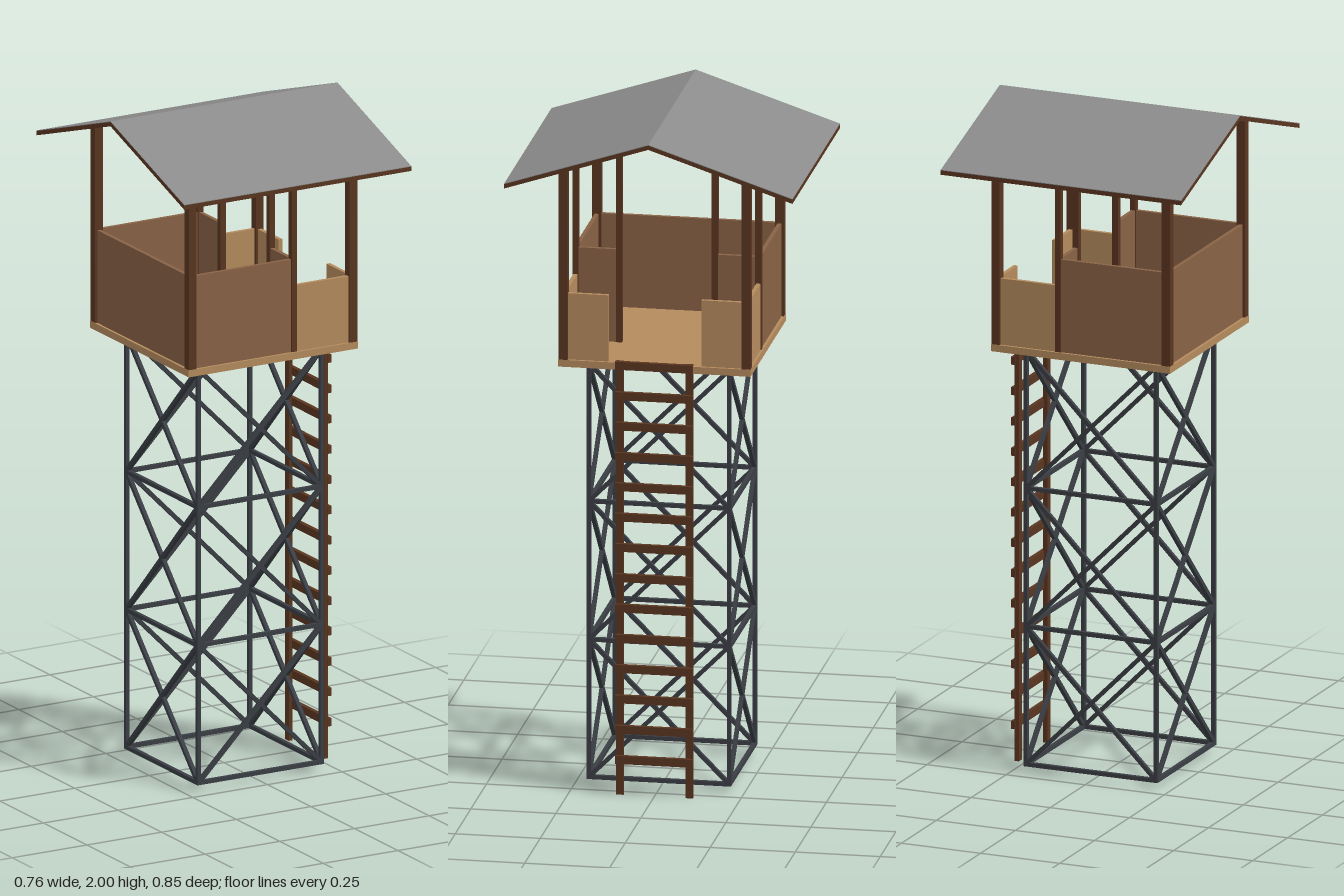
import * as THREE from 'three';

const mat = (name, color) => new THREE.MeshStandardMaterial({ name, color });

export function createModel() {
  const steel = mat('dark steel', 0x3a3e44);
  const darkWood = mat('dark wood', 0x5a3520);
  const wallWood = mat('brown wall wood', 0x896246);
  const lightWood = mat('light wood', 0xb58b5e);
  const roofGrey = mat('roof grey', 0x8c8c8c);

  const model = new THREE.Group();
  model.name = 'watchtower';
  const group = (name) => {
    const g = new THREE.Group();
    g.name = name;
    model.add(g);
    return g;
  };

  // Box given by its min and max on each axis
  const box = (parent, name, material, [x0, x1], [y0, y1], [z0, z1]) => {
    const m = new THREE.Mesh(new THREE.BoxGeometry(x1 - x0, y1 - y0, z1 - z0), material);
    m.position.set((x0 + x1) / 2, (y0 + y1) / 2, (z0 + z1) / 2);
    m.name = name;
    parent.add(m);
  };

  // Square bar between two points
  const bar = (parent, name, a, b, t) => {
    const p = new THREE.Vector3(...a), q = new THREE.Vector3(...b);
    const m = new THREE.Mesh(new THREE.BoxGeometry(t, t, p.distanceTo(q)), steel);
    m.position.copy(p).add(q).multiplyScalar(0.5);
    m.lookAt(q);
    m.name = name;
    parent.add(m);
  };

  // Steel lattice: legs, level bars and crossed braces on four sides
  const R = 0.206;
  const levels = [0.026, 0.442, 0.86, 1.277];
  const corners = [[R, R], [R, -R], [-R, -R], [-R, R]];
  const lattice = group('steelLattice');
  corners.forEach(([x, z], i) => {
    const [u, w] = corners[(i + 1) % 4];
    bar(lattice, 'leg', [x, 0.02, z], [x, 1.286, z], 0.012);
    levels.forEach((y, k) => {
      bar(lattice, 'levelBar', [x, y, z], [u, y, w], 0.012);
      if (k === 3) return;
      const top = levels[k + 1];
      bar(lattice, 'brace', [x, y, z], [u, top, w], 0.012);
      bar(lattice, 'brace', [x, top, z], [u, y, w], 0.012);
    });
  });

  // Platform
  const F = 1.306;
  box(model, 'platform', lightWood, [-0.283, 0.283], [1.285, F], [-0.283, 0.283]);

  // Posts: four corners, and a row along the inner partition
  const posts = group('posts');
  const roofAt = (z) => 1.992 - 0.14 * Math.abs(z) / 0.423;
  const post = (x, z, t) =>
    box(posts, 'post', darkWood, [x - t, x + t], [F, roofAt(Math.abs(z) + t)], [z - t, z + t]);
  for (const s of [1, -1]) {
    for (const x of [-0.269, 0.269]) post(x, s * 0.269, 0.013);
    post(0.074, s * 0.269, 0.009);
    post(0.074, s * 0.141, 0.009);
  }

  // Cabin walls: tall around the room, low around the porch
  const walls = group('walls');
  const T = 0.006, HIGH = 1.586, LOW = 1.506;
  const side = (s, a, b) => (s > 0 ? [a, b] : [-b, -a]);
  box(walls, 'roomEndWall', wallWood, [-0.269 - T, -0.269 + T], [F, HIGH], [-0.258, 0.258]);
  for (const s of [1, -1]) {
    const outer = side(s, 0.269 - T, 0.269 + T);
    const flank = side(s, 0.148, 0.262);
    box(walls, 'roomSideWall', wallWood, [-0.258, 0.066], [F, HIGH], outer);
    box(walls, 'partition', wallWood, [0.074 - T, 0.074 + T], [F, HIGH], flank);
    box(walls, 'porchSideRail', lightWood, [0.082, 0.258], [F, LOW], outer);
    box(walls, 'porchEndRail', lightWood, [0.269 - T, 0.269 + T], [F, LOW], side(s, 0.137, 0.258));
  }

  // Gable roof: wooden deck with a thin grey covering
  const gable = (name, material, top, thick) => {
    const z = 0.424, e = top - 0.14, b = thick;
    const shape = new THREE.Shape([
      [-z, e], [-z, e - b], [0, top - b], [z, e - b], [z, e], [0, top],
    ].map(([a, c]) => new THREE.Vector2(a, c)));
    const m = new THREE.Mesh(
      new THREE.ExtrudeGeometry(shape, { depth: 0.76, bevelEnabled: false }), material);
    m.rotation.y = -Math.PI / 2;
    m.position.x = 0.38;
    m.name = name;
    model.add(m);
  };
  gable('roofDeck', darkWood, 1.998, 0.013);
  gable('roofCovering', roofGrey, 2.0, 0.002);

  // Ladder on the porch side
  const ladder = group('ladder');
  for (const z of [0.102, -0.102])
    box(ladder, 'rail', darkWood, [0.27, 0.283], [0, 1.31], [z - 0.011, z + 0.011]);
  for (let i = 0; i < 14; i++) {
    const y = 0.108 + i * 0.0917;
    box(ladder, 'rung', darkWood, [0.281, 0.294], [y - 0.012, y + 0.012], [-0.114, 0.114]);
  }

  return model;
}
